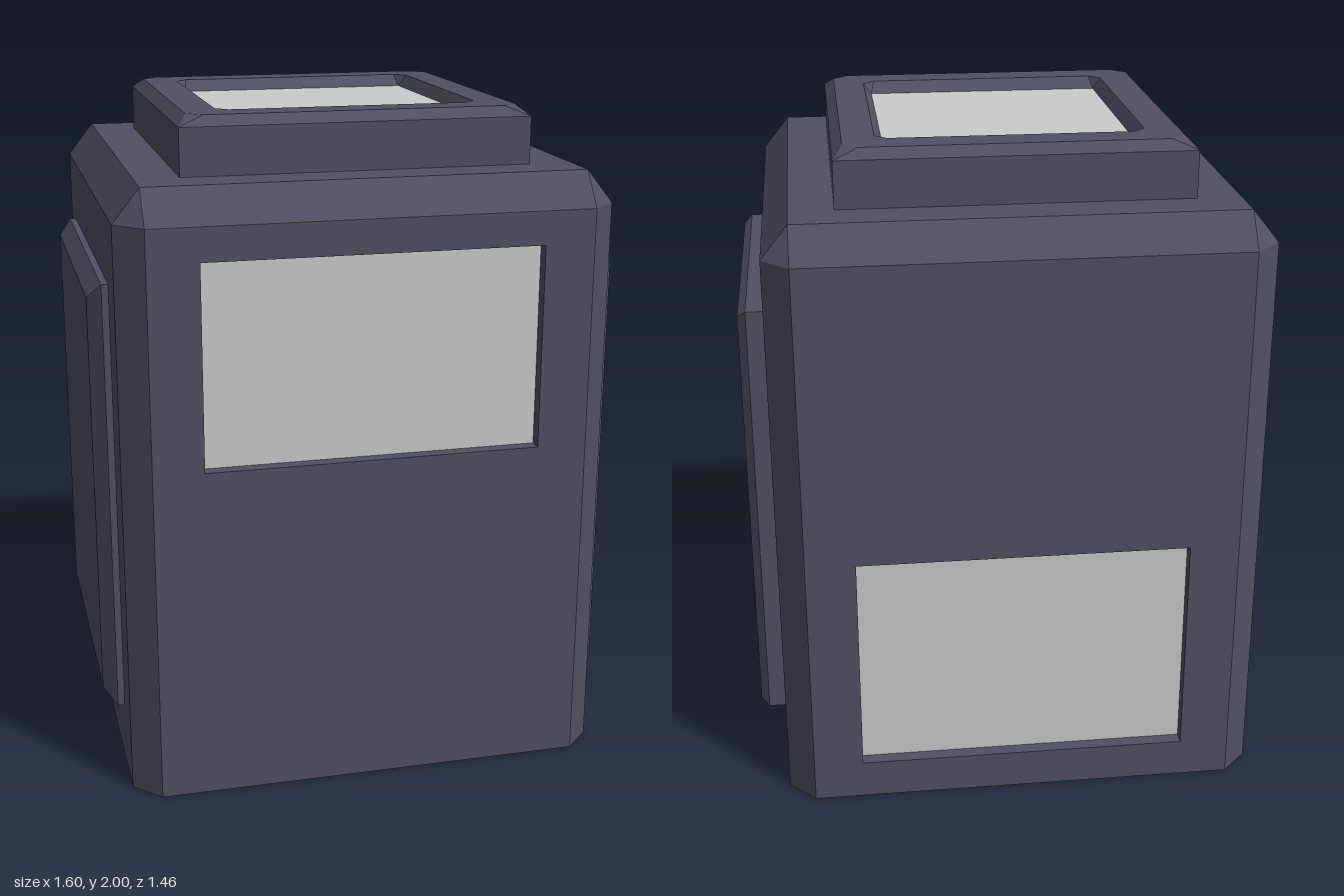
import * as THREE from 'three';

// Rectangular loop at depth w, counter-clockwise; cu/cv cut the upper corners, low cuts the lower ones
function loop(w, u0, u1, v0, v1, cu = 0, cv = cu, low = 0) {
  return [
    [u0 + low, v0, w], [u1 - low, v0, w], [u1, v0 + low, w], [u1, v1 - cv, w],
    [u1 - cu, v1, w], [u0 + cu, v1, w], [u0, v1 - cv, w], [u0, v0 + low, w],
  ].map((p) => new THREE.Vector3(...p));
}

// Skin a run of loops with flat faces, leaving out collapsed triangles
function loft(loops) {
  const pos = [];
  const tri = (a, b, c) => {
    const area = b.clone().sub(a).cross(c.clone().sub(a)).length();
    if (area > 1e-7) for (const p of [a, b, c]) pos.push(p.x, p.y, p.z);
  };
  for (let k = 0; k + 1 < loops.length; k++) {
    const a = loops[k], b = loops[k + 1], n = a.length;
    for (let i = 0; i < n; i++) {
      const j = (i + 1) % n;
      tri(a[i], a[j], b[j]);
      tri(a[i], b[j], b[i]);
    }
  }
  const geo = new THREE.BufferGeometry();
  geo.setAttribute('position', new THREE.Float32BufferAttribute(pos, 3));
  geo.computeVertexNormals();
  return geo;
}

export function createModel() {
  const group = new THREE.Group();
  const dark = new THREE.MeshStandardMaterial({ color: 0x505062, flatShading: true });
  const grey = new THREE.MeshStandardMaterial({ color: 0xcccccc, flatShading: true });
  const add = (name, geo, mat) => {
    const mesh = new THREE.Mesh(geo, mat);
    mesh.name = name;
    group.add(mesh);
    return mesh;
  };

  // Body: bevelled block, lofted back to front, with a window recess at each end
  const frontWin = [-0.51, 0.49, 1.02, 1.63];
  const backWin = [-0.51, 0.49, 0.12, 0.81];
  const face = [-0.66, 0.64, 0, 1.73];
  const section = [-0.74, 0.72, 0, 1.83, 0.08, 0.1];
  add('body', loft([
    loop(-0.69, ...backWin), loop(-0.73, ...backWin), loop(-0.73, ...face),
    loop(-0.65, ...section), loop(0.65, ...section),
    loop(0.73, ...face), loop(0.73, ...frontWin), loop(0.69, ...frontWin),
  ]), dark);

  // Window panes at the bottom of the recesses
  const pane = (name, [x0, x1, y0, y1], z) => {
    const mesh = add(name, new THREE.PlaneGeometry(x1 - x0, y1 - y0), grey);
    mesh.position.set((x0 + x1) / 2, (y0 + y1) / 2, z);
    if (z < 0) mesh.rotation.y = Math.PI;
  };
  pane('frontWindow', frontWin, 0.69);
  pane('backWindow', backWin, -0.69);

  // Top cap: bevelled frame with a tapering recess
  add('topCap', loft([
    loop(1.83, -0.53, 0.51, -0.52, 0.52),
    loop(1.97, -0.53, 0.51, -0.52, 0.52),
    loop(2, -0.5, 0.48, -0.495, 0.495, 0.045, 0.045, 0.045),
    loop(2, -0.4, 0.385, -0.395, 0.395, 0.035, 0.035, 0.035),
    loop(1.965, -0.375, 0.36, -0.365, 0.365),
  ]).rotateX(-Math.PI / 2), dark);
  const topPane = add('topWindow', new THREE.PlaneGeometry(0.735, 0.73), grey);
  topPane.rotation.x = -Math.PI / 2;
  topPane.position.set(-0.0075, 1.965, 0);

  // Side panels: raised plates, the right one with a wider bevel
  const sides = [
    { name: 'leftPanel', dir: 1, root: 0.71, edge: 0.775, bevel: 0.022 },
    { name: 'rightPanel', dir: -1, root: 0.73, edge: 0.76, bevel: 0.045 },
  ];
  for (const { name, dir, root, edge, bevel } of sides) {
    add(name, loft([
      loop(root, -0.5, 0.5, 0.2, 1.53),
      loop(edge, -0.5, 0.5, 0.2, 1.53),
      loop(0.8, -0.5 + bevel, 0.5 - bevel, 0.2 + bevel, 1.53 - bevel),
      loop(0.8, 0, 0, 0.865, 0.865),
    ]).rotateY(dir * Math.PI / 2), dark);
  }

  // Underside
  const base = new THREE.Shape([
    [-0.66, -0.73], [0.64, -0.73], [0.72, -0.65], [0.72, 0.65],
    [0.64, 0.73], [-0.66, 0.73], [-0.74, 0.65], [-0.74, -0.65],
  ].map(([x, z]) => new THREE.Vector2(x, z)));
  add('underside', new THREE.ShapeGeometry(base).rotateX(Math.PI / 2).translate(0, 0.0005, 0), dark).visible = true;
  return group;
}
